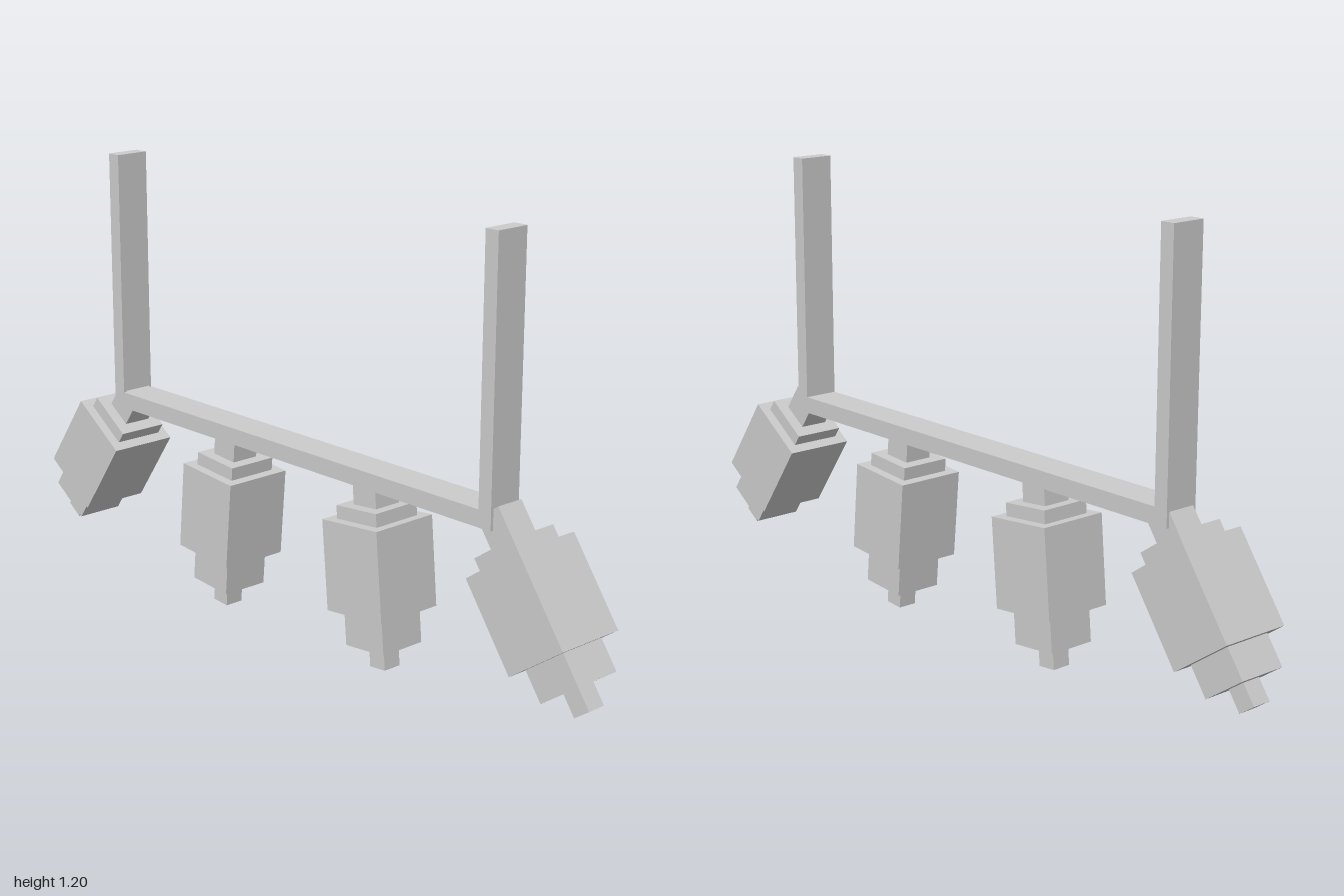
import * as THREE from 'three';

const material = new THREE.MeshStandardMaterial({ color: 0xcccccc, flatShading: true });

function box(name, w, h, d, x, y) {
  const mesh = new THREE.Mesh(new THREE.BoxGeometry(w, h, d), material);
  mesh.name = name;
  mesh.position.set(x, y, 0);
  return mesh;
}

// Stack of square blocks along a tilted axis; the origin is the body's centre
function lamp(name, x, y, tilt, bodyLength, neckLength, noseLength) {
  const group = new THREE.Group();
  group.name = name;
  const half = bodyLength / 2;
  const block = (part, width, from, to) =>
    group.add(box(part, width, to - from, width, 0, (from + to) / 2));
  block('body', 0.195, -half, half);
  block('collar', 0.142, half, half + 0.035);
  block('neck', 0.08, half + 0.035, half + 0.035 + neckLength);
  block('nose', 0.135, -half - noseLength, -half);
  block('tip', 0.053, -half - noseLength - 0.06, -half - noseLength);
  group.position.set(x, y, 0);
  group.rotation.z = THREE.MathUtils.degToRad(tilt);
  return group;
}

export function createModel() {
  const model = new THREE.Group();
  model.name = 'hangingLampRack';

  // Hanging frame, set slightly off centre
  const frame = new THREE.Group();
  frame.name = 'frame';
  frame.position.x = -0.016;
  frame.add(box('crossbar', 1.354, 0.045, 0.096, 0, 0.505));
  for (const side of [-1, 1]) {
    const name = side > 0 ? 'leftPost' : 'rightPost';
    frame.add(box(name, 0.04, 0.715, 0.096, side * 0.697, 0.84));
  }
  model.add(frame);

  // Two splayed outer lamps and two nearly upright inner ones
  for (const side of [-1, 1]) {
    const label = side > 0 ? 'left' : 'right';
    model.add(lamp(label + 'OuterLamp', side * 0.823, 0.324, side * 35, 0.25, 0.084, 0.085));
    model.add(lamp(label + 'InnerLamp', side * 0.285, 0.278, side * 5, 0.24, 0.055, 0.095));
  }
  return model;
}
